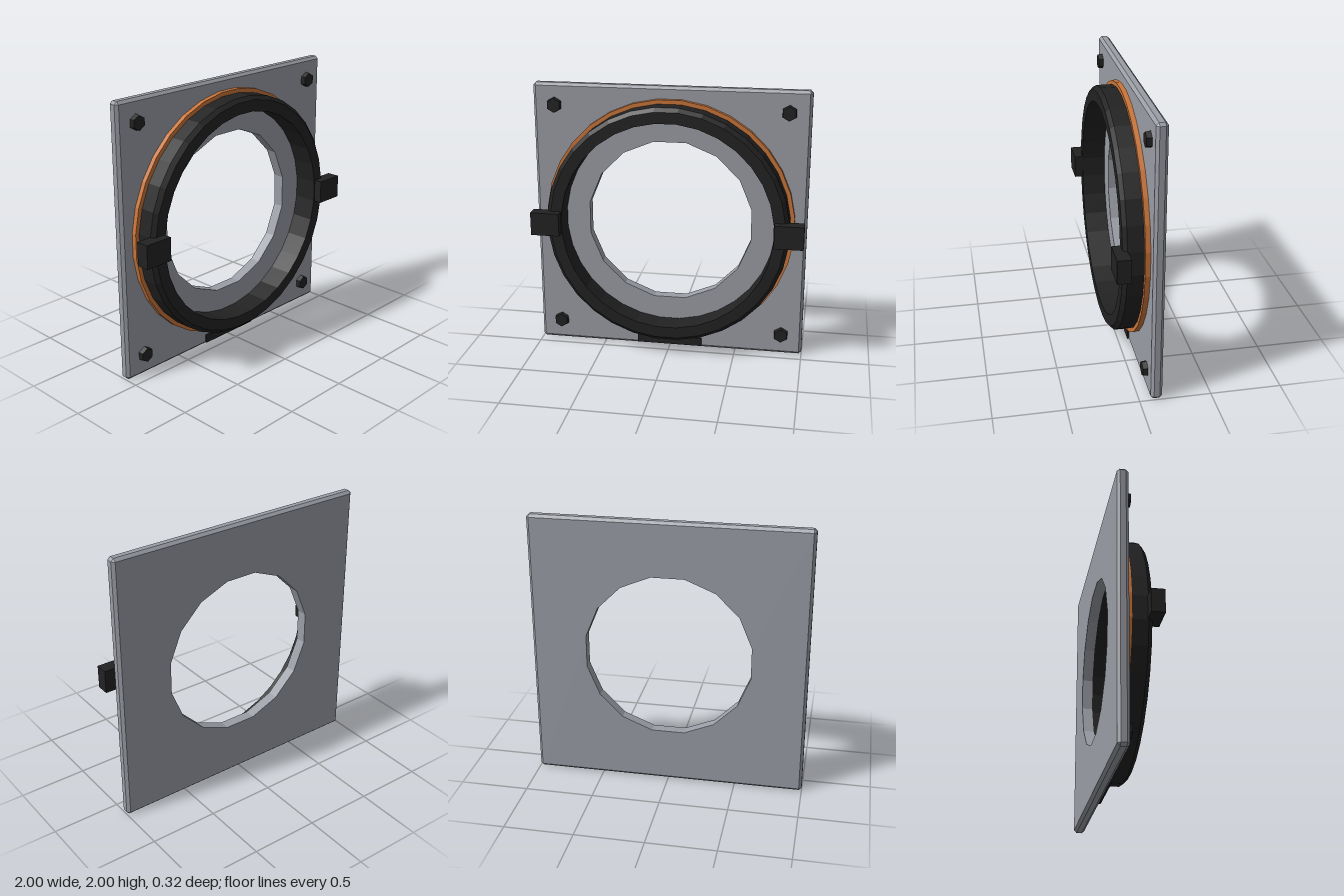
import * as THREE from 'three';

export function createModel() {
  const model = new THREE.Group();
  const grey = new THREE.MeshStandardMaterial({ color: 0x9a9da5, flatShading: true });
  const black = new THREE.MeshStandardMaterial({ color: 0x222222, flatShading: true });
  const orange = new THREE.MeshStandardMaterial({ color: 0xc9753a, flatShading: true });
  grey.name = 'plate grey';
  black.name = 'matte black';
  orange.name = 'seal orange';

  const add = (name, geometry, material, x = 0, y = 1, z = 0) => {
    const mesh = new THREE.Mesh(geometry, material);
    mesh.name = name;
    mesh.position.set(x, y, z);
    model.add(mesh);
    return mesh;
  };

  // Square plate with a sixteen-sided opening and chamfered rim
  const rim = 0.98;
  const outline = new THREE.Shape([
    [1, -rim], [1, rim], [rim, 1], [-rim, 1], [-1, rim], [-1, -rim], [-rim, -1], [rim, -1],
  ].map(([x, y]) => new THREE.Vector2(x, y)));
  const opening = [];
  for (let i = 0; i < 16; i++) {
    const a = -(i + 0.5) * Math.PI / 8;
    opening.push(new THREE.Vector2(0.61 * Math.cos(a), 0.61 * Math.sin(a)));
  }
  outline.holes.push(new THREE.Path(opening));
  const plate = new THREE.ExtrudeGeometry(outline, { depth: 0.08, steps: 4, bevelEnabled: false });
  const pos = plate.attributes.position;
  for (let i = 0; i < pos.count; i++) {
    const z = pos.getZ(i);
    if (z < 0.01 || z > 0.07) {
      pos.setX(i, THREE.MathUtils.clamp(pos.getX(i), -rim, rim));
      pos.setY(i, THREE.MathUtils.clamp(pos.getY(i), -rim, rim));
    }
  }
  plate.computeVertexNormals();
  add('mountingPlate', plate, grey, 0, 1, -0.16);

  // Rings turned about the z axis from [radius, z] profiles
  const ring = (profile) => new THREE.LatheGeometry(
    profile.map(([r, z]) => new THREE.Vector2(r, z)), 32, Math.PI / 32,
  ).rotateX(Math.PI / 2);
  add('sealRing', ring([[0.8, -0.1], [0.915, -0.1], [0.915, -0.045], [0.8, -0.045]]), orange);
  add('collar', ring([
    [0.775, -0.12], [0.885, -0.12], [0.885, 0.067], [0.857, 0.095], [0.775, 0.095], [0.775, -0.12],
  ]), black);

  // Side lugs and corner bolts
  for (const side of [-1, 1]) {
    add(side > 0 ? 'leftLug' : 'rightLug', new THREE.BoxGeometry(0.21, 0.17, 0.095), black,
      side * 0.883, 1.005, 0.108);
    for (const level of [-1, 1]) {
      const bolt = new THREE.CylinderGeometry(0.052, 0.058, 0.045, 6).rotateX(Math.PI / 2);
      add('cornerBolt', bolt, black, side * 0.843, 1 + level * 0.843, -0.0675);
    }
  }

  // Strip along the lower edge
  add('lowerStrip', new THREE.BoxGeometry(0.49, 0.062, 0.03), black, 0, 0.047, -0.082);

  return model;
}
